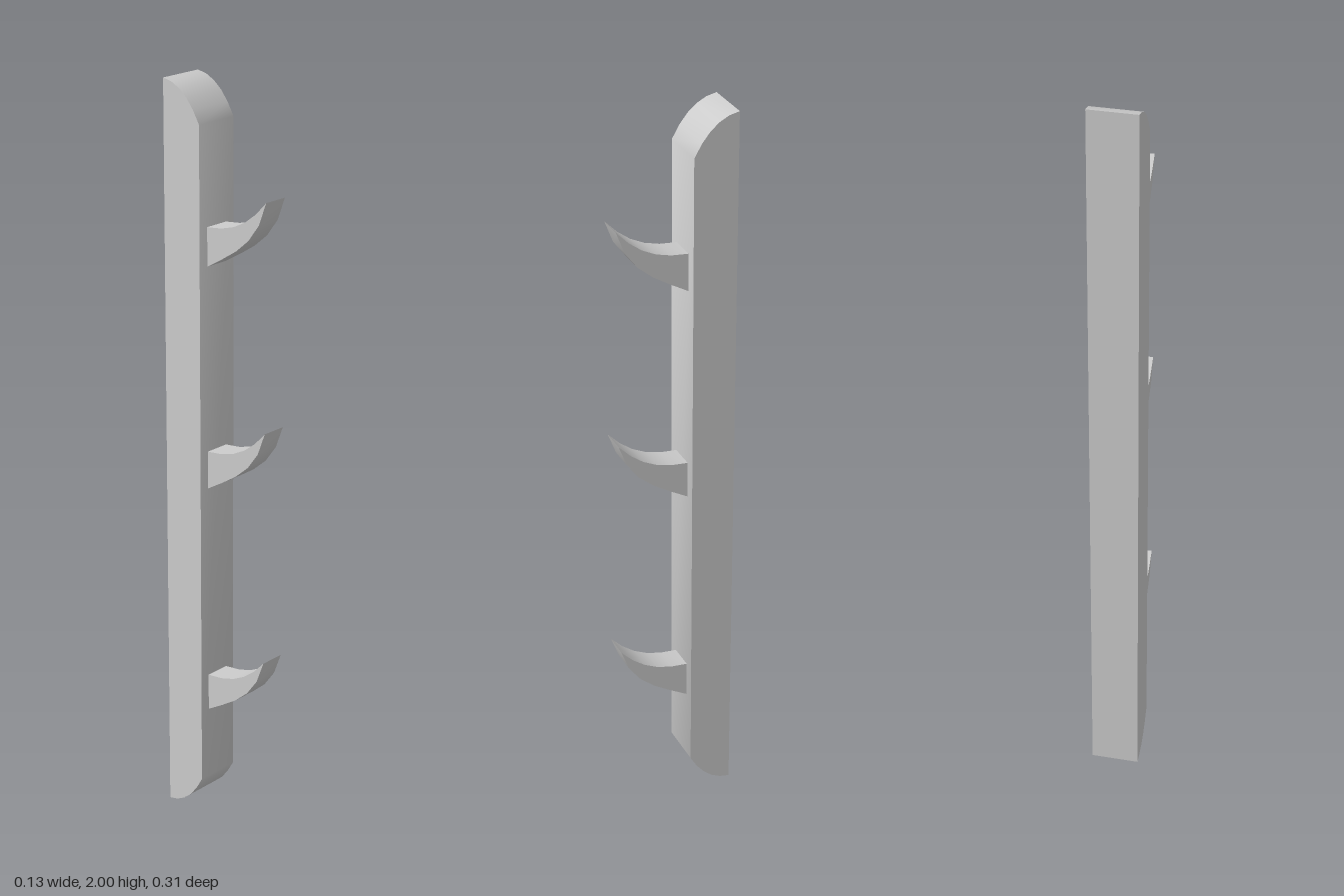
import * as THREE from 'three';
import { toCreasedNormals } from 'three/addons/utils/BufferGeometryUtils.js';

const material = new THREE.MeshStandardMaterial({ color: 0xcccccc });

// Extrude a side profile (z, y) across x, centred on x = 0
function sideExtrude(name, shape, width) {
  const geometry = new THREE.ExtrudeGeometry(shape, { depth: width, bevelEnabled: false, curveSegments: 5 });
  geometry.translate(0, 0, -width / 2).rotateY(-Math.PI / 2);
  const mesh = new THREE.Mesh(toCreasedNormals(geometry, 0.85), material);
  mesh.name = name;
  return mesh;
}

export function createModel() {
  const group = new THREE.Group();
  group.name = 'hookRail';

  // Backboard with rounded front ends
  const back = -0.155, front = -0.037;
  const board = new THREE.Shape();
  board.moveTo(back, 0);
  board.quadraticCurveTo(-0.084, 0.006, front, 0.1);
  board.lineTo(front, 1.9);
  board.quadraticCurveTo(-0.084, 1.994, back, 2);
  board.closePath();
  group.add(sideExtrude('backboard', board, 0.127));

  // Curved hooks tapering to an upturned tip, drawn relative to the tip height
  const hook = new THREE.Shape();
  hook.moveTo(front, -0.197);
  hook.bezierCurveTo(0.045, -0.148, 0.127, -0.115, 0.155, 0);
  hook.bezierCurveTo(0.1, -0.065, 0.045, -0.092, front, -0.095);
  hook.closePath();
  [['upperHook', 1.733], ['middleHook', 1.137], ['lowerHook', 0.499]].forEach(([name, tipY]) => {
    const mesh = sideExtrude(name, hook, 0.07);
    mesh.position.y = tipY;
    group.add(mesh);
  });

  return group;
}
